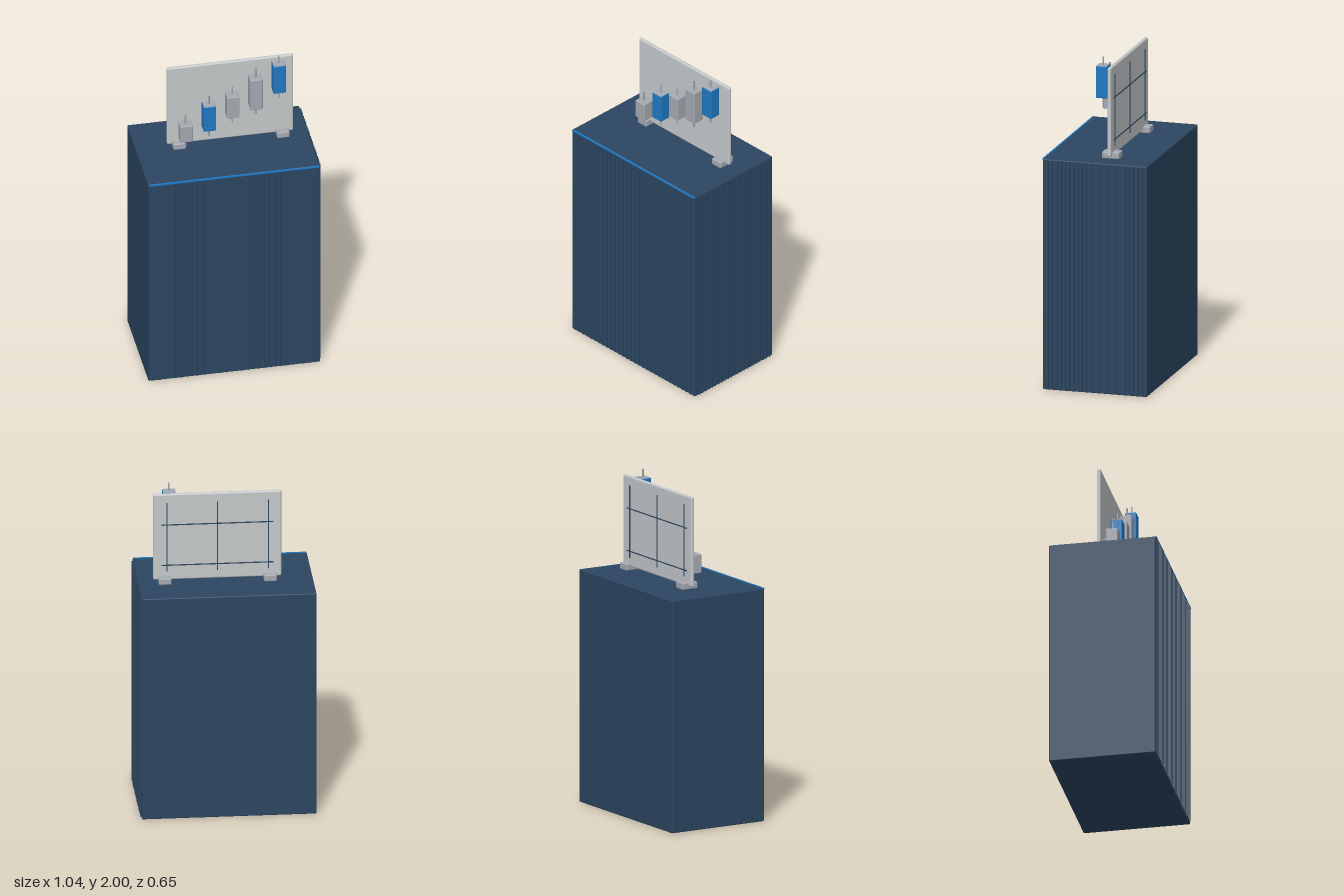
import * as THREE from 'three';
import { RoundedBoxGeometry } from 'three/addons/geometries/RoundedBoxGeometry.js';

const material = (name, color) => {
  const m = new THREE.MeshStandardMaterial({ color });
  m.name = name;
  return m;
};

export function createModel() {
  const navy = material('navy', 0x2c4661);
  const blue = material('blue', 0x2079c4);
  const grey = material('grey', 0xa6a9b1);
  const pale = material('paleGrey', 0xc5c9cb);

  const model = new THREE.Group();
  model.name = 'candlestickChartOnPlinth';

  // Box given by its min and max on each axis; rounded if a radius is given
  const box = (name, mat, [x0, x1], [y0, y1], [z0, z1], radius = 0) => {
    const size = [x1 - x0, y1 - y0, z1 - z0];
    const geo = radius ? new RoundedBoxGeometry(...size, 2, radius) : new THREE.BoxGeometry(...size);
    const mesh = new THREE.Mesh(geo, mat);
    mesh.name = name;
    mesh.position.set((x0 + x1) / 2, (y0 + y1) / 2, (z0 + z1) / 2);
    model.add(mesh);
    return mesh;
  };
  const around = (c, w) => [c - w / 2, c + w / 2];

  // Plinth with a bright edge along its front top
  box('plinth', navy, [-0.52, 0.51], [0, 1.4], [-0.325, 0.314], 0.006);
  box('topEdgeTrim', blue, [-0.515, 0.505], [1.394, 1.403], [0.309, 0.319]);

  // Fine ribs on the front and on the left side
  for (let i = 0; i < 30; i++) {
    box('frontRib', navy, around(-0.487 + i * 0.0332, 0.007), [0.006, 1.394], [0.31, 0.321]);
  }
  for (let i = 0; i < 23; i++) {
    box('sideRib', navy, [0.505, 0.518], [0.006, 1.394], around(-0.295 + i * 0.0262, 0.007));
  }

  // Upright panel on two feet
  box('panel', pale, [-0.335, 0.422], [1.417, 1.96], [-0.077, -0.053], 0.01);
  for (const x of [-0.267, 0.355]) {
    box('foot', grey, around(x, 0.075), [1.4, 1.441], [-0.118, -0.012], 0.007);
  }

  // Grid lines on the back of the panel
  for (const x of [-0.258, 0.042, 0.342]) {
    box('verticalGridLine', navy, around(x, 0.006), [1.47, 1.905], [-0.081, -0.076]);
  }
  for (const y of [1.51, 1.766]) {
    box('horizontalGridLine', navy, [-0.288, 0.372], around(y, 0.006), [-0.081, -0.076]);
  }

  // Candles: x, body bottom and top, wick bottom and top, colour
  const candles = [
    [-0.235, 1.48, 1.595, 1.43, 1.653, grey],
    [-0.095, 1.54, 1.715, 1.487, 1.77, blue],
    [0.045, 1.615, 1.765, 1.565, 1.822, grey],
    [0.184, 1.656, 1.87, 1.605, 1.93, grey],
    [0.323, 1.755, 1.95, 1.702, 2.0, blue],
  ];
  for (const [x, y0, y1, w0, w1, mat] of candles) {
    box('candleBody', mat, around(x, 0.076), [y0, y1], around(0.001, 0.07), 0.006);
    if (mat === blue) {
      box('candleCap', grey, around(x, 0.07), [y1 - 0.002, y1 + 0.001], around(0.001, 0.064));
    }

    const wick = new THREE.Mesh(new THREE.CylinderGeometry(0.005, 0.005, w1 - w0, 12), grey);
    wick.name = 'candleWick';
    wick.position.set(x, (w0 + w1) / 2, 0.001);

    // Peg holding the candle to the panel
    const peg = new THREE.Mesh(new THREE.CylinderGeometry(0.01, 0.01, 0.04, 16), grey);
    peg.name = 'candlePeg';
    peg.rotation.x = Math.PI / 2;
    peg.position.set(x, (y0 + y1) / 2, -0.045);
    model.add(wick, peg);
  }

  return model;
}
